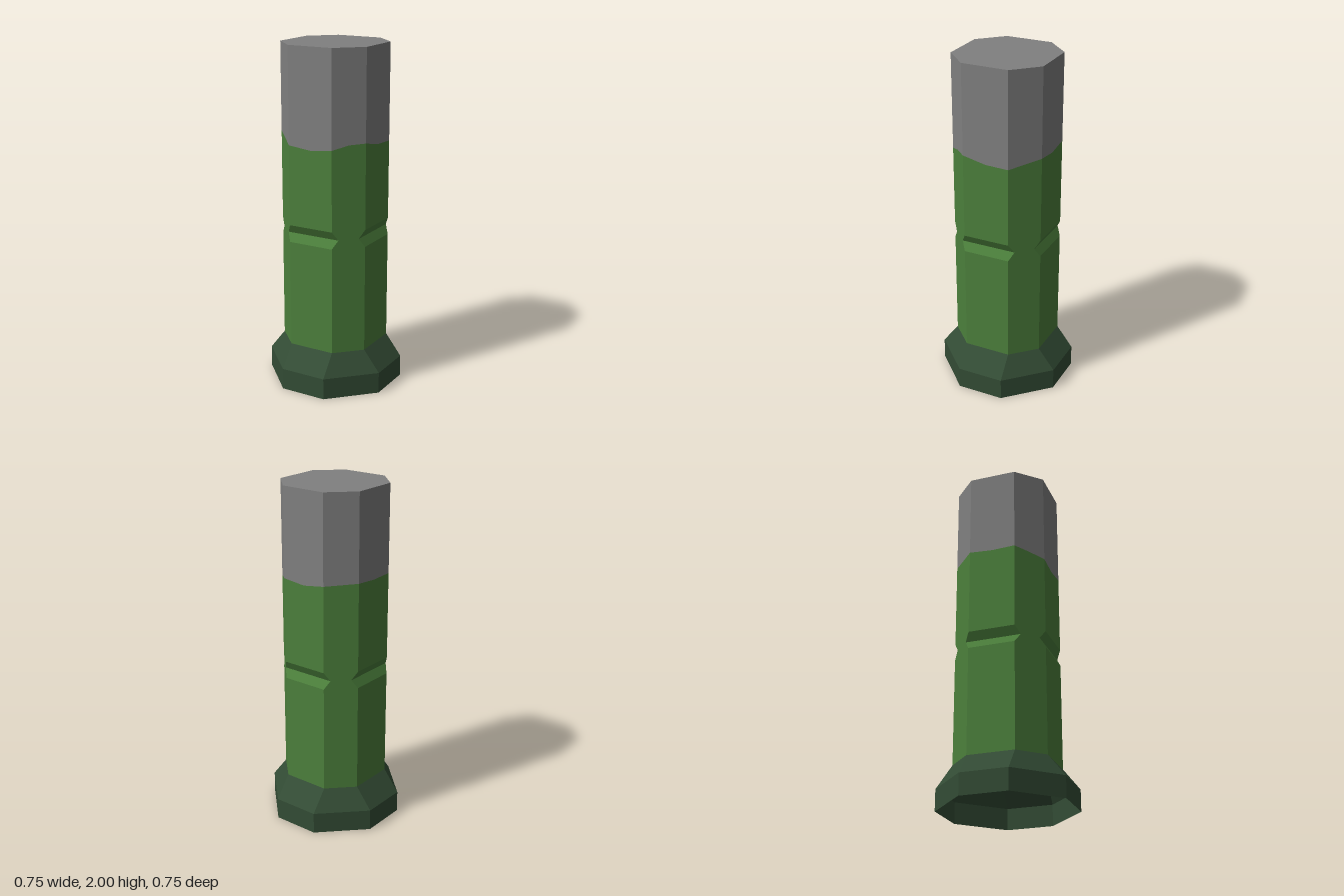
import * as THREE from 'three';

// Eight-sided outline with a midpoint on every side: 16 [x, z] points.
// h = distance to the square-on faces, c = half-width of those faces.
// Order: starts at the middle of the +z face and turns towards +x.
function octagon(h, c) {
  const d = (h + c) / 2;
  const quarter = [[0, h], [c, h], [d, d], [h, c]];
  const points = [];
  for (let q = 0; q < 4; q++) {
    for (const [x, z] of quarter) {
      points.push([[x, z], [z, -x], [-x, -z], [-z, x]][q]);
    }
  }
  return points;
}

// Skin a stack of rings { h, c, y }; y may be a number or one height per point.
function loft(name, rings, color, capTop = false) {
  const n = 16;
  const positions = [];
  const index = [];
  const heightAt = (ring, i) => (Array.isArray(ring.y) ? ring.y[i] : ring.y);
  for (const ring of rings) {
    octagon(ring.h, ring.c).forEach(([x, z], i) => positions.push(x, heightAt(ring, i), z));
  }
  for (let r = 0; r < rings.length - 1; r++) {
    for (let i = 0; i < n; i++) {
      const a = r * n + i;
      const b = r * n + (i + 1) % n;
      index.push(a, b, b + n, a, b + n, a + n);
    }
  }
  if (capTop) {
    const last = (rings.length - 1) * n;
    const centre = positions.length / 3;
    positions.push(0, rings[rings.length - 1].y, 0);
    for (let i = 0; i < n; i++) index.push(last + i, last + (i + 1) % n, centre);
  }
  const geometry = new THREE.BufferGeometry();
  geometry.setAttribute('position', new THREE.Float32BufferAttribute(positions, 3));
  geometry.setIndex(index);
  const flat = geometry.toNonIndexed();
  flat.computeVertexNormals();
  const material = new THREE.MeshStandardMaterial({ color, flatShading: true, side: THREE.DoubleSide });
  const mesh = new THREE.Mesh(flat, material);
  mesh.name = name;
  return mesh;
}

export function createModel() {
  const group = new THREE.Group();
  group.name = 'post';

  const body = { h: 0.275, c: 0.138 };
  const groove = { h: 0.248, c: 0.165 }; // diagonal faces stay in plane
  const foot = { h: 0.373, c: 0.138 };

  // Uneven line where the green ends and the grey begins
  const paintLine = [
    1.43, 1.445, 1.47, 1.475, // front to right
    1.445, 1.44, 1.46, 1.48,  // right to back
    1.465, 1.485, 1.49, 1.495, // back to left
    1.485, 1.49, 1.47, 1.445, // left to front
  ];

  // Flared, hollow foot
  group.add(loft('foot', [
    { ...foot, y: 0 },
    { ...foot, y: 0.125 },
    { ...body, y: 0.25 },
  ], 0x334c35));

  // Green shaft with a V-shaped notch across the four square-on faces
  group.add(loft('lowerShaft', [
    { ...body, y: 0.25 },
    { ...body, y: 0.88 },
    { ...groove, y: 0.93 },
    { ...body, y: 0.98 },
    { ...body, y: paintLine },
  ], 0x4c803c));

  // Grey, closed upper end
  group.add(loft('upperShaft', [
    { ...body, y: paintLine },
    { ...body, y: 2 },
  ], 0x808080, true));

  return group;
}
